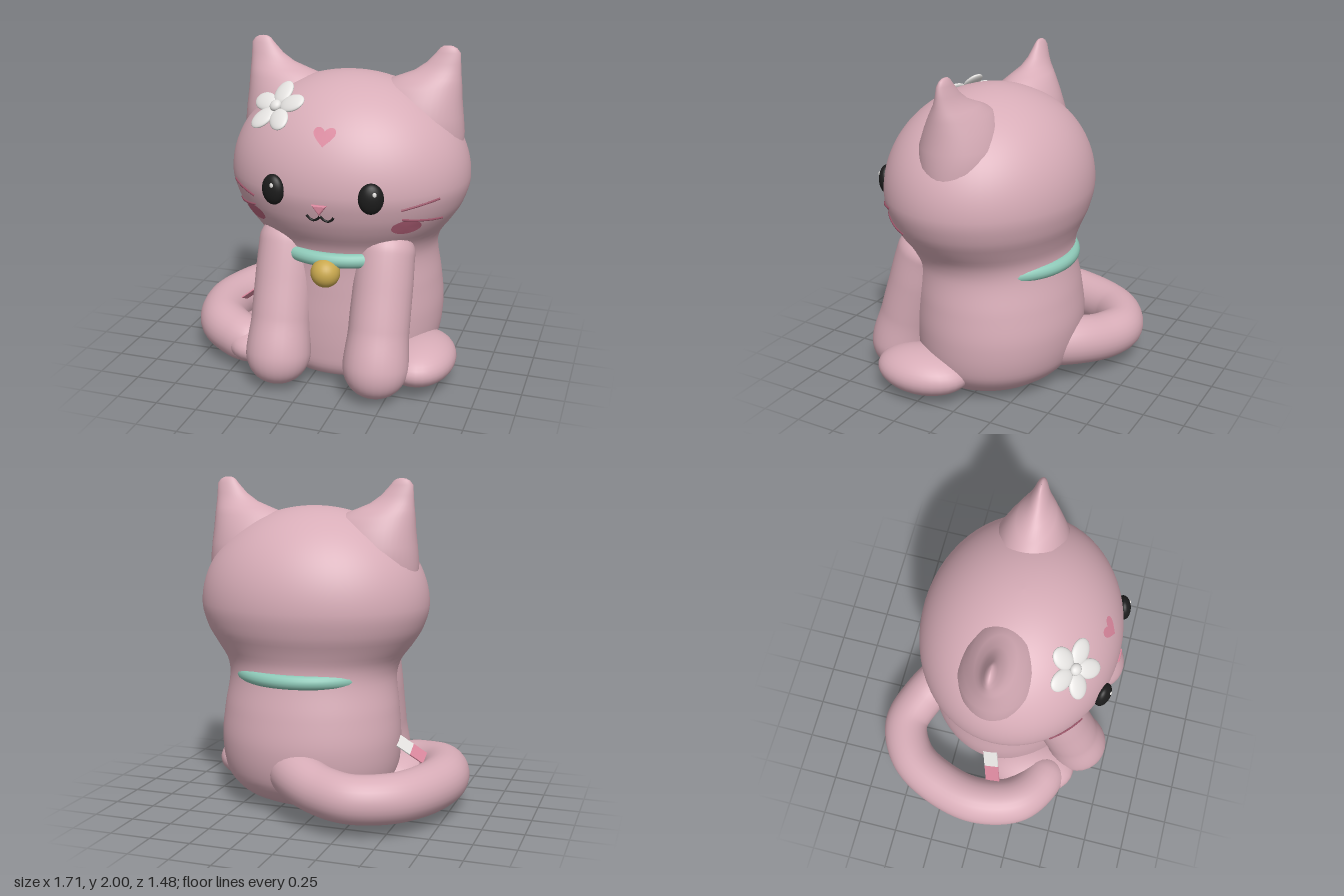
import * as THREE from 'three';

const MID = 0.14; // x of the cat's own mirror plane (the tail fills the other side)

const mat = (name, color, extra = {}) => Object.assign(new THREE.MeshStandardMaterial({ color, ...extra }), { name });
const fur = mat('pink fur', 0xd8adb8);
const mint = mat('mint collar', 0x8ec9b8);
const gold = mat('gold bell', 0xc9a84e);
const white = mat('white', 0xe4e2e0);
const rose = mat('rose pink', 0xd8869c, { side: THREE.DoubleSide });
const blush = mat('blush', 0xb8647c, { side: THREE.DoubleSide });
const whiskerPink = mat('whisker pink', 0x9a5468);
const black = mat('black', 0x1c1c1c);

// Skin through closed rings of points
function loft(rings) {
  const n = rings[0].length, idx = [];
  for (let i = 0; i < rings.length - 1; i++) {
    for (let j = 0; j < n; j++) {
      const a = i * n + j, b = i * n + (j + 1) % n;
      idx.push(a, a + n, b, b, a + n, b + n);
    }
  }
  const g = new THREE.BufferGeometry().setFromPoints(rings.flat());
  g.setIndex(idx);
  g.computeVertexNormals();
  return g;
}

// Horizontal ellipse from half-width and depth limits
function ellipse(cx, y, cz, rx, rz, n = 64) {
  return Array.from({ length: n }, (_, j) => {
    const a = j / n * Math.PI * 2;
    return new THREE.Vector3(cx + rx * Math.cos(a), y, cz + rz * Math.sin(a));
  });
}

// Body outline below the widest line of the head: y, half-width, front z, back z
const OUTLINE = [
  [0.005, 0.22, 0.28, -0.2], [0.04, 0.4, 0.42, -0.3], [0.1, 0.48, 0.48, -0.39], [0.2, 0.54, 0.5, -0.46],
  [0.4, 0.565, 0.51, -0.495], [0.6, 0.55, 0.51, -0.475], [0.8, 0.525, 0.515, -0.435], [0.9, 0.55, 0.54, -0.43],
  [1.0, 0.62, 0.6, -0.46], [1.1, 0.68, 0.645, -0.5], [1.24, 0.715, 0.675, -0.525],
];
function section(y) {
  if (y >= 1.24) { // domed head
    const k = Math.sqrt(Math.max(0, 1 - ((y - 1.24) / 0.59) ** 2));
    return { rx: 0.715 * k, cz: 0.075, rz: 0.6 * k };
  }
  let i = 0;
  while (i < OUTLINE.length - 2 && y > OUTLINE[i + 1][0]) i++;
  const p = OUTLINE[i], q = OUTLINE[i + 1], h = q[0] - p[0], t = (y - p[0]) / h;
  const slope = (k, c) => {
    if (k === OUTLINE.length - 1) return 0;
    const a = OUTLINE[Math.max(0, k - 1)], b = OUTLINE[k + 1];
    return (b[c] - a[c]) / (b[0] - a[0]);
  };
  const at = c => p[c] * (1 + 2 * t) * (1 - t) ** 2 + h * slope(i, c) * t * (1 - t) ** 2
    + q[c] * t * t * (3 - 2 * t) + h * slope(i + 1, c) * t * t * (t - 1);
  const f = at(2), b = at(3);
  return { rx: at(1), cz: (f + b) / 2, rz: (f - b) / 2 };
}
// Point on the front of the face, dx measured from the mirror plane
function skin(dx, y, off = 0) {
  const s = section(y);
  return new THREE.Vector3(MID + dx, y, s.cz + s.rz * Math.sqrt(Math.max(0, 1 - (dx / s.rx) ** 2)) + off);
}
// Lay a flat geometry onto the face
function onFace(g, dx, y, off) {
  const p = g.attributes.position;
  for (let i = 0; i < p.count; i++) {
    const v = skin(dx + p.getX(i), y + p.getY(i), off);
    p.setXYZ(i, v.x, v.y, v.z);
  }
  g.computeVertexNormals();
  return g;
}

// Round-ended limb along points [x, y, z, radius]
function limb(pts, steps = 72, n = 28) {
  const curve = new THREE.CatmullRomCurve3(pts.map(p => new THREE.Vector3(p[0], p[1], p[2])));
  const L = curve.getLength(), frames = curve.computeFrenetFrames(steps, false), rings = [];
  for (let i = 0; i <= steps; i++) {
    const u = i / steps, f = curve.getUtoTmapping(u) * (pts.length - 1), k = Math.min(pts.length - 2, Math.floor(f));
    let r = THREE.MathUtils.lerp(pts[k][3], pts[k + 1][3], THREE.MathUtils.smoothstep(f - k, 0, 1));
    const d = Math.min(u, 1 - u) * L;
    if (d < r) r *= Math.sqrt(Math.max(0, 1 - (1 - d / r) ** 2));
    const c = curve.getPointAt(u);
    rings.push(Array.from({ length: n }, (_, j) => {
      const a = j / n * Math.PI * 2;
      return c.clone().addScaledVector(frames.normals[i], r * Math.cos(a)).addScaledVector(frames.binormals[i], -r * Math.sin(a));
    }));
  }
  return loft(rings);
}

export function createModel() {
  const cat = new THREE.Group();
  cat.name = 'cat';
  const add = (name, geo, material, parent = cat) => {
    const m = new THREE.Mesh(geo, material);
    m.name = name;
    parent.add(m);
    return m;
  };
  const ball = (name, material, pos, scale, parent) => {
    const m = add(name, new THREE.SphereGeometry(1, 32, 20), material, parent);
    m.position.set(...pos);
    m.scale.set(...scale);
    return m;
  };
  const line = (name, pts, r, material) =>
    add(name, new THREE.TubeGeometry(new THREE.CatmullRomCurve3(pts), 20, r, 8), material);

  // Body and head in one skin
  const ys = [];
  for (let i = 0; i < 44; i++) ys.push(0.005 + 1.235 * i / 44);
  for (let i = 0; i <= 26; i++) ys.push(1.24 + 0.59 * Math.sin(i / 26 * Math.PI / 2));
  const rings = ys.map(y => { const s = section(y); return ellipse(MID, y, s.cz, s.rx, s.rz); });
  rings.unshift(ellipse(MID, 0, 0.04, 0.001, 0.001));
  add('bodyAndHead', loft(rings), fur);

  // Ears: y, inner edge, outer edge, half-thickness
  const EAR = [[1.4, 0.1, 0.66, 0.22], [1.5, 0.1, 0.665, 0.24], [1.6, 0.1, 0.655, 0.23], [1.7, 0.12, 0.645, 0.19],
    [1.77, 0.16, 0.642, 0.15], [1.815, 0.28, 0.638, 0.11], [1.85, 0.365, 0.635, 0.078], [1.9, 0.435, 0.632, 0.052],
    [1.96, 0.49, 0.628, 0.032], [1.985, 0.51, 0.608, 0.02], [1.997, 0.53, 0.585, 0.01], [2.0, 0.555, 0.56, 0.001]];
  for (const s of [-1, 1]) {
    const side = s > 0 ? 'left' : 'right';
    add(side + 'Ear', loft(EAR.map(([y, a, b, rz]) => ellipse(MID + s * (a + b) / 2, y, 0.037, (b - a) / 2, rz, 40))), fur);

    // Legs and hind feet
    const X = MID + s * 0.3;
    add(side + 'FrontLeg', limb([[X, 1.0, 0.29, 0.15], [X, 0.85, 0.36, 0.17], [X, 0.65, 0.42, 0.175],
      [X, 0.42, 0.49, 0.177], [X, 0.2, 0.55, 0.193], [X, 0.02, 0.56, 0.193]]), fur);
    ball(side + 'HindFoot', fur, [MID + s * 0.5, 0.165, 0.27], [0.21, 0.135, 0.3]);

    // Eye with highlight
    const eye = new THREE.Group();
    eye.name = side + 'Eye';
    eye.position.set(MID + s * 0.283, 1.25, 0.632);
    eye.rotation.y = s * 0.3;
    cat.add(eye);
    ball('eyeball', black, [0, 0, 0], [0.071, 0.088, 0.045], eye);
    ball('highlight', white, [0.018, 0.035, 0.039], [0.012, 0.014, 0.006], eye);

    // Cheek and whiskers
    const cheek = new THREE.CircleGeometry(1, 32).scale(0.074, 0.045, 1).rotateZ(-s * -0.15);
    add(side + 'Cheek', onFace(cheek, s * 0.447, 1.055, 0.009), blush);
    for (const [y0, y1] of [[1.17, 1.21], [1.11, 1.07]]) {
      const pts = [0, 1, 2, 3, 4].map(i => skin(s * (0.43 + 0.045 * i), y0 + (y1 - y0) * i / 4, 0.004));
      line(side + 'Whisker', pts, 0.0065, whiskerPink);
    }

    // Half of the mouth
    line(side + 'Mouth', [[0, 1.13], [0.02, 1.108], [0.042, 1.1], [0.062, 1.108], [0.08, 1.13]]
      .map(([x, y]) => skin(s * x, y, 0.004)), 0.007, black);
  }

  // Nose
  const tri = new THREE.Shape([[-0.03, 0.016], [0, -0.02], [0.03, 0.016]].map(p => new THREE.Vector2(...p)));
  add('nose', new THREE.ExtrudeGeometry(tri, { depth: 0.015, bevelSize: 0.012, bevelThickness: 0.01, bevelSegments: 4 }), rose)
    .position.set(MID, 1.175, 0.66);

  // Forehead heart
  const heart = new THREE.Shape();
  heart.moveTo(0, -0.048);
  heart.bezierCurveTo(-0.03, -0.02, -0.065, 0, -0.064, 0.025);
  heart.bezierCurveTo(-0.062, 0.055, -0.015, 0.055, 0, 0.028);
  heart.bezierCurveTo(0.015, 0.055, 0.062, 0.055, 0.064, 0.025);
  heart.bezierCurveTo(0.065, 0, 0.03, -0.02, 0, -0.048);
  add('foreheadHeart', onFace(new THREE.ShapeGeometry(heart, 10), 0, 1.56, 0.009), rose);

  // Tail curling round to the right foot
  add('tail', limb([[0.2, 0.28, -0.28, 0.15], [0.05, 0.26, -0.44, 0.15], [-0.13, 0.23, -0.55, 0.145], [-0.32, 0.22, -0.598, 0.142],
    [-0.53, 0.215, -0.49, 0.144], [-0.665, 0.21, -0.25, 0.148], [-0.71, 0.21, 0.0, 0.15], [-0.64, 0.2, 0.24, 0.15],
    [-0.48, 0.18, 0.36, 0.145], [-0.28, 0.16, 0.4, 0.13]], 110), fur);

  // Collar ring and bell
  const collar = add('collar', new THREE.TorusGeometry(1, 0.085, 16, 96).rotateX(Math.PI / 2), mint);
  collar.scale.set(0.455, 0.5, 0.485);
  collar.position.set(MID, 0.828, 0.055);
  ball('bell', gold, [MID, 0.758, 0.565], [0.085, 0.085, 0.085]);

  // Flower by the right ear
  const flower = new THREE.Group();
  flower.name = 'flower';
  flower.position.set(-0.185, 1.675, 0.445);
  flower.quaternion.setFromUnitVectors(new THREE.Vector3(0, 0, 1), new THREE.Vector3(-0.28, 0.72, 0.63).normalize());
  cat.add(flower);
  for (let i = 0; i < 5; i++) {
    const a = 0.25 + i * Math.PI * 2 / 5;
    ball('petal', white, [0.1 * Math.cos(a), 0.1 * Math.sin(a), 0], [0.078, 0.058, 0.02], flower).rotation.z = a;
  }
  ball('flowerCentre', white, [0, 0, 0.012], [0.036, 0.036, 0.026], flower);

  // Fabric tag on the right hip
  const tag = new THREE.Group();
  tag.name = 'tag';
  tag.position.set(-0.49, 0.36, 0.04);
  tag.rotation.set(-0.45, 0, 0.69);
  cat.add(tag);
  add('tagBase', new THREE.BoxGeometry(0.13, 0.008, 0.1), white, tag).position.x = 0.055;
  add('tagEnd', new THREE.BoxGeometry(0.1, 0.008, 0.1), rose, tag).position.x = -0.06;

  return cat;
}
